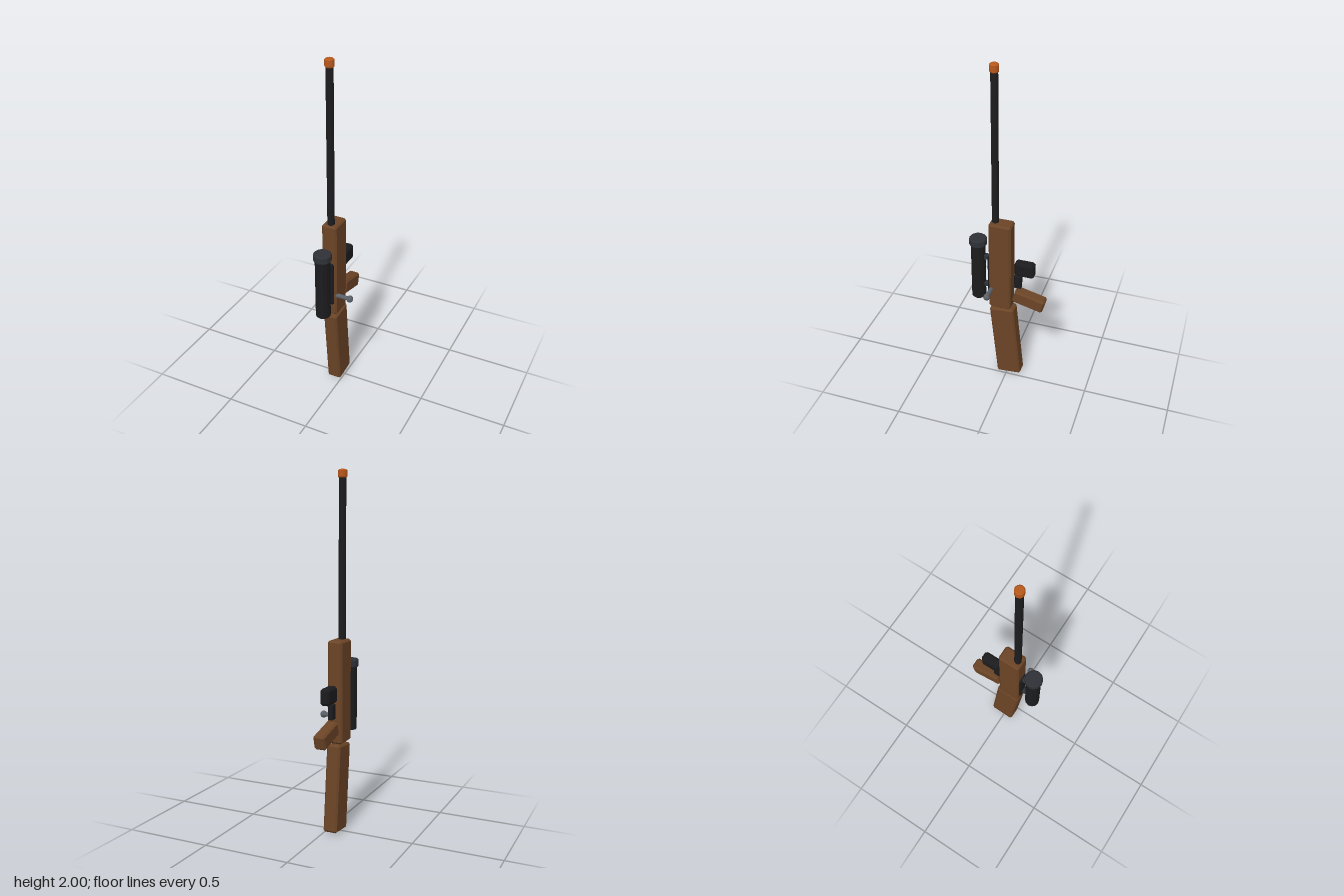
import * as THREE from 'three';
import { ConvexGeometry } from 'three/addons/geometries/ConvexGeometry.js';

const CX = -0.045; // centre line of the model
const mat = (color) => new THREE.MeshStandardMaterial({ color, flatShading: true });

// Box with every edge chamfered by b
function chamferBox(w, h, d, b) {
  const points = [];
  for (const sx of [-1, 1]) for (const sy of [-1, 1]) for (const sz of [-1, 1]) {
    const [x, y, z] = [w / 2, h / 2, d / 2];
    points.push(
      new THREE.Vector3(sx * x, sy * (y - b), sz * (z - b)),
      new THREE.Vector3(sx * (x - b), sy * y, sz * (z - b)),
      new THREE.Vector3(sx * (x - b), sy * (y - b), sz * z));
  }
  return new ConvexGeometry(points);
}

// Upright cylinder with chamfered rims
function chamferCylinder(r, h, b, sides = 12) {
  const profile = [[0, -h / 2], [r - b, -h / 2], [r, -h / 2 + b], [r, h / 2 - b], [r - b, h / 2], [0, h / 2]];
  return new THREE.LatheGeometry(profile.map(([x, y]) => new THREE.Vector2(x, y)), sides);
}

export function createModel() {
  const model = new THREE.Group();
  const wood = mat(0x6b4426);
  const black = mat(0x1c1c1e);
  const darkGrey = mat(0x2e3136);
  const steel = mat(0x5a6068);
  const orange = mat(0xb8591c);

  const add = (name, geometry, material, x, y, z, tilt = 0) => {
    const mesh = new THREE.Mesh(geometry, material);
    mesh.name = name;
    mesh.position.set(x, y, z);
    mesh.rotation.x = tilt;
    model.add(mesh);
    return mesh;
  };

  // Wooden body, stock and grip
  add('body', chamferBox(0.088, 0.575, 0.13, 0.01), wood, CX, 0.799, 0.04);
  add('stock', chamferBox(0.082, 0.495, 0.145, 0.01), wood, CX, 0.256, 0.008, 0.097);
  add('grip', chamferBox(0.068, 0.185, 0.084, 0.01).rotateX(Math.PI / 2).scale(1, 1, 1), wood, CX, 0.587, -0.129, -0.245);

  // Barrel and tip
  add('barrel', chamferCylinder(0.02, 0.9, 0.003), black, CX, 1.51, 0.075);
  add('barrelTip', chamferCylinder(0.025, 0.046, 0.006), orange, CX, 1.977, 0.075);

  // Receiver plate, magazine and trigger
  add('receiverPlate', chamferBox(0.06, 0.27, 0.06, 0.008), black, CX, 0.72, 0.087);
  add('magazine', chamferBox(0.056, 0.092, 0.114, 0.012), black, CX, 0.8, -0.099);
  add('trigger', chamferBox(0.03, 0.085, 0.044, 0.004), black, CX, 0.702, -0.058);

  // Scope with its cap and two mounts
  add('scopeTube', chamferCylinder(0.042, 0.38, 0.005), black, CX, 0.74, 0.18);
  add('scopeCap', chamferCylinder(0.051, 0.048, 0.007), darkGrey, CX, 0.936, 0.18);
  for (const y of [0.838, 0.645]) {
    add('scopeMount', chamferBox(0.03, 0.028, 0.06, 0.004), darkGrey, CX, y, 0.128);
  }

  // Bolt handle and knob
  add('boltHandle', chamferCylinder(0.0125, 0.1, 0.002, 10).rotateZ(Math.PI / 2), steel, 0.025, 0.643, 0.091);
  add('boltKnob', new THREE.SphereGeometry(0.02, 10, 8), steel, 0.076, 0.643, 0.091);

  return model;
}
